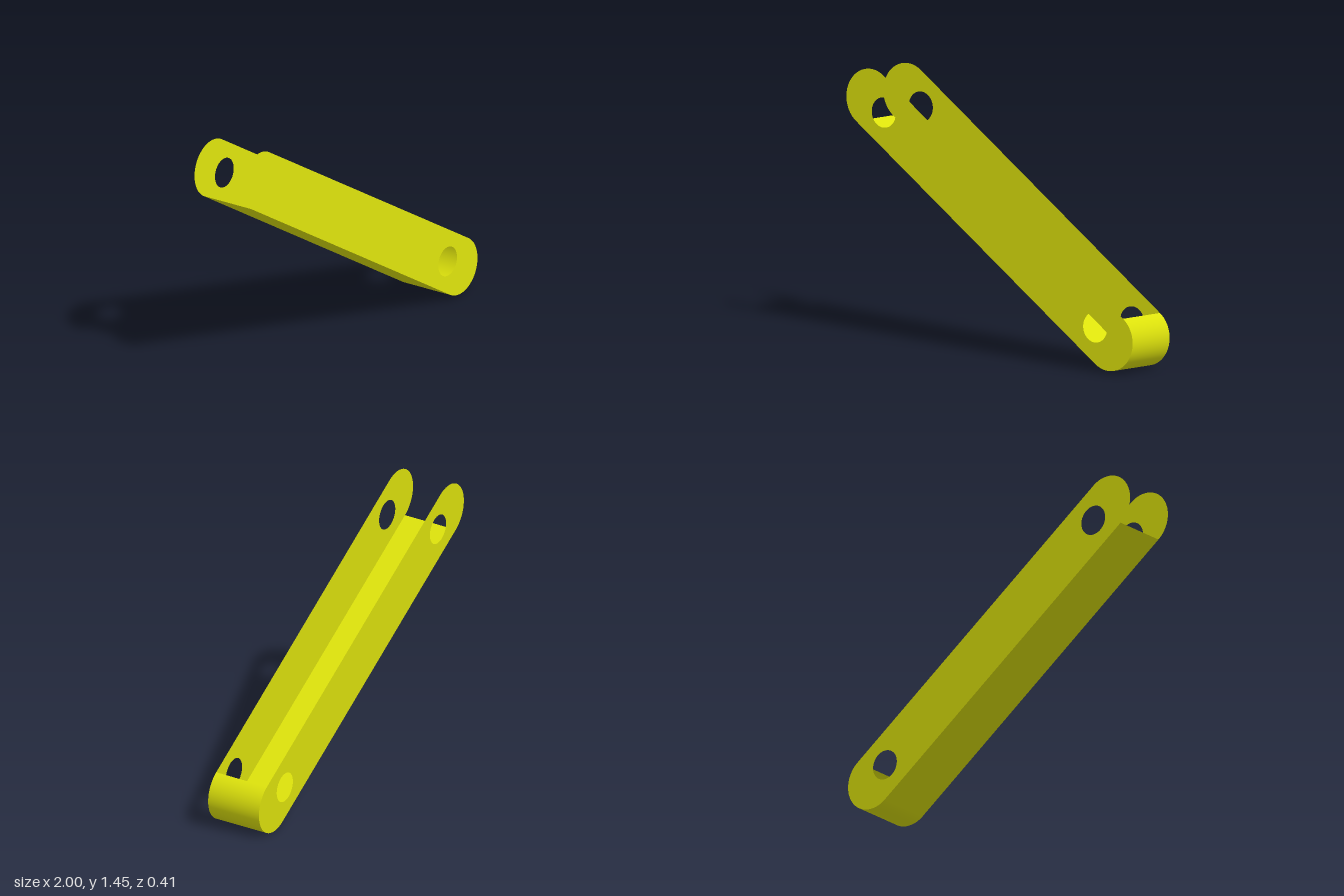
import * as THREE from 'three';

const HALF = 1.007;   // centre to the middle of each rounded end
const R = 0.16;       // end radius, half the plate width
const DEPTH = 0.32;   // distance between the side plates
const HOLE_X = 0.89;
const HOLE_R = 0.082;

// Slotted outline with a round hole near each end
function plateShape() {
  const shape = new THREE.Shape();
  shape.moveTo(-HALF, -R);
  shape.lineTo(HALF, -R);
  shape.absarc(HALF, 0, R, -Math.PI / 2, Math.PI / 2, false);
  shape.lineTo(-HALF, R);
  shape.absarc(-HALF, 0, R, Math.PI / 2, Math.PI * 1.5, false);
  for (const side of [-1, 1]) {
    const hole = new THREE.Path();
    hole.absarc(side * HOLE_X, 0, HOLE_R, 0, Math.PI * 2, true);
    shape.holes.push(hole);
  }
  return shape;
}

export function createModel() {
  const material = new THREE.MeshStandardMaterial({ color: 0xdde20c, side: THREE.DoubleSide });
  const link = new THREE.Group();
  link.name = 'channelLink';

  const add = (name, geometry) => {
    const mesh = new THREE.Mesh(geometry, material);
    mesh.name = name;
    link.add(mesh);
  };

  // Thin side plates, facing outwards
  add('frontPlate', new THREE.ShapeGeometry(plateShape(), 32).translate(0, 0, DEPTH / 2));
  add('backPlate', new THREE.ShapeGeometry(plateShape(), 32).translate(0, 0, DEPTH / 2).rotateY(Math.PI));

  // Web along the lower edge, wrapping around the lower end only
  add('bottomWeb', new THREE.PlaneGeometry(HALF * 2, DEPTH).rotateX(Math.PI / 2).translate(0, -R, 0));
  add('roundedEnd', new THREE.CylinderGeometry(R, R, DEPTH, 48, 1, true, 0, Math.PI)
    .rotateX(Math.PI / 2).translate(HALF, 0, 0));

  // Tilt the link: its length runs down to the model's left
  const normal = new THREE.Vector3(-0.013, 0.049, 1).normalize();
  const along = new THREE.Vector3(1.67, -1.118, 0.0765).normalize();
  const across = new THREE.Vector3().crossVectors(normal, along).normalize();
  link.quaternion.setFromRotationMatrix(new THREE.Matrix4().makeBasis(along, across, normal));
  link.position.set(0, 0.73, 0);

  const model = new THREE.Group();
  model.name = 'model';
  model.add(link);
  return model;
}
